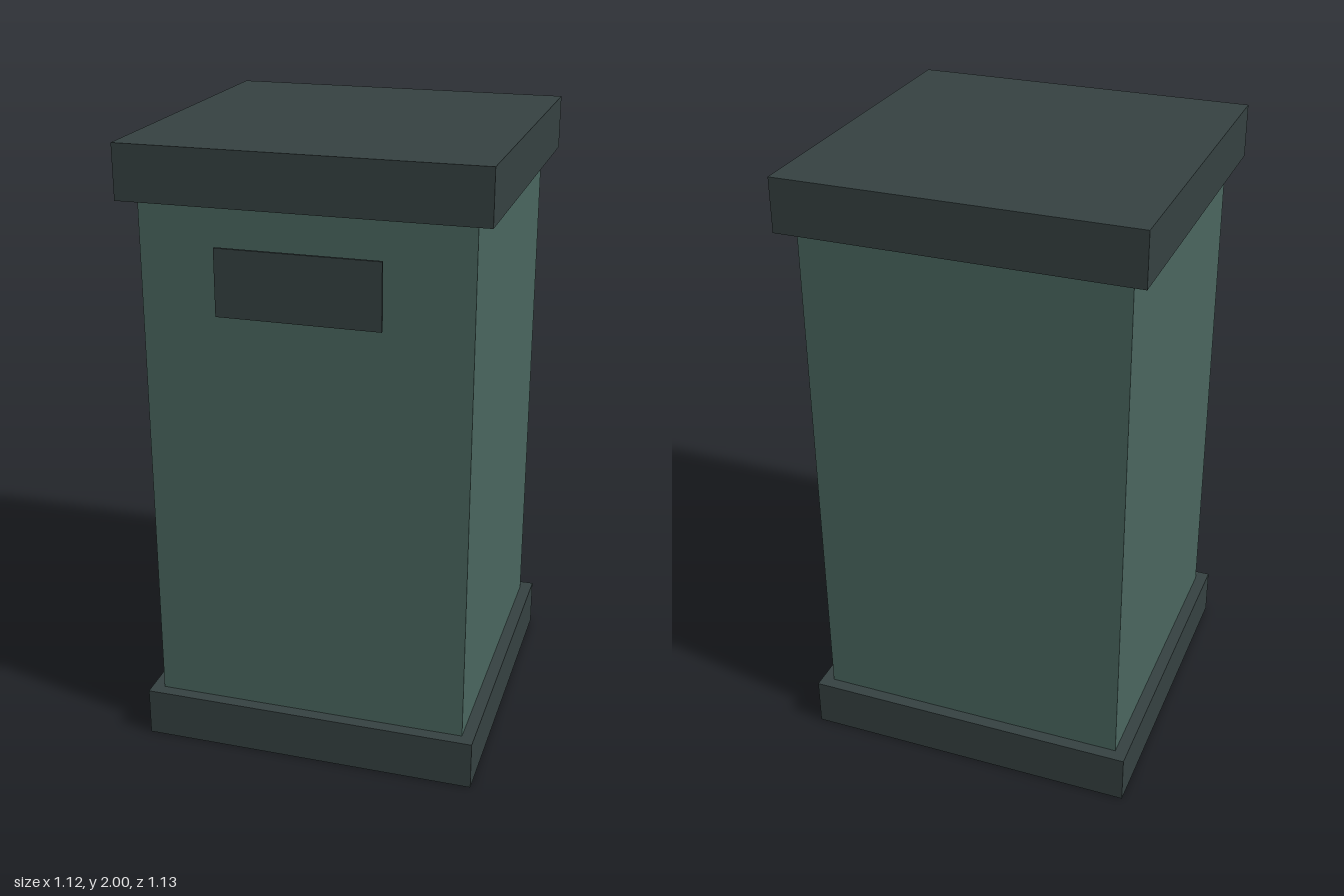
import * as THREE from 'three';

export function createModel() {
  const group = new THREE.Group();
  const green = new THREE.MeshStandardMaterial({ name: 'mutedGreen', color: 0x4a665f });
  const dark = new THREE.MeshStandardMaterial({ name: 'darkSlate', color: 0x354141 });

  // Box spanning y0..y1, centred on x = 0
  const addBox = (name, width, depth, y0, y1, z, material) => {
    const mesh = new THREE.Mesh(new THREE.BoxGeometry(width, y1 - y0, depth), material);
    mesh.name = name;
    mesh.position.set(0, (y0 + y1) / 2, z);
    group.add(mesh);
  };

  const z = -0.007; // the plate in front shifts the cabinet slightly back
  addBox('base', 1.1, 1.1, 0, 0.16, z, dark);
  addBox('body', 1.02, 1.02, 0.16, 1.83, z, green);
  addBox('lid', 1.12, 1.12, 1.83, 2, z, dark);

  // Thin slot plate standing just clear of the front
  addBox('slotPlate', 0.505, 0.0095, 1.508, 1.716, 0.561, dark);

  return group;
}
